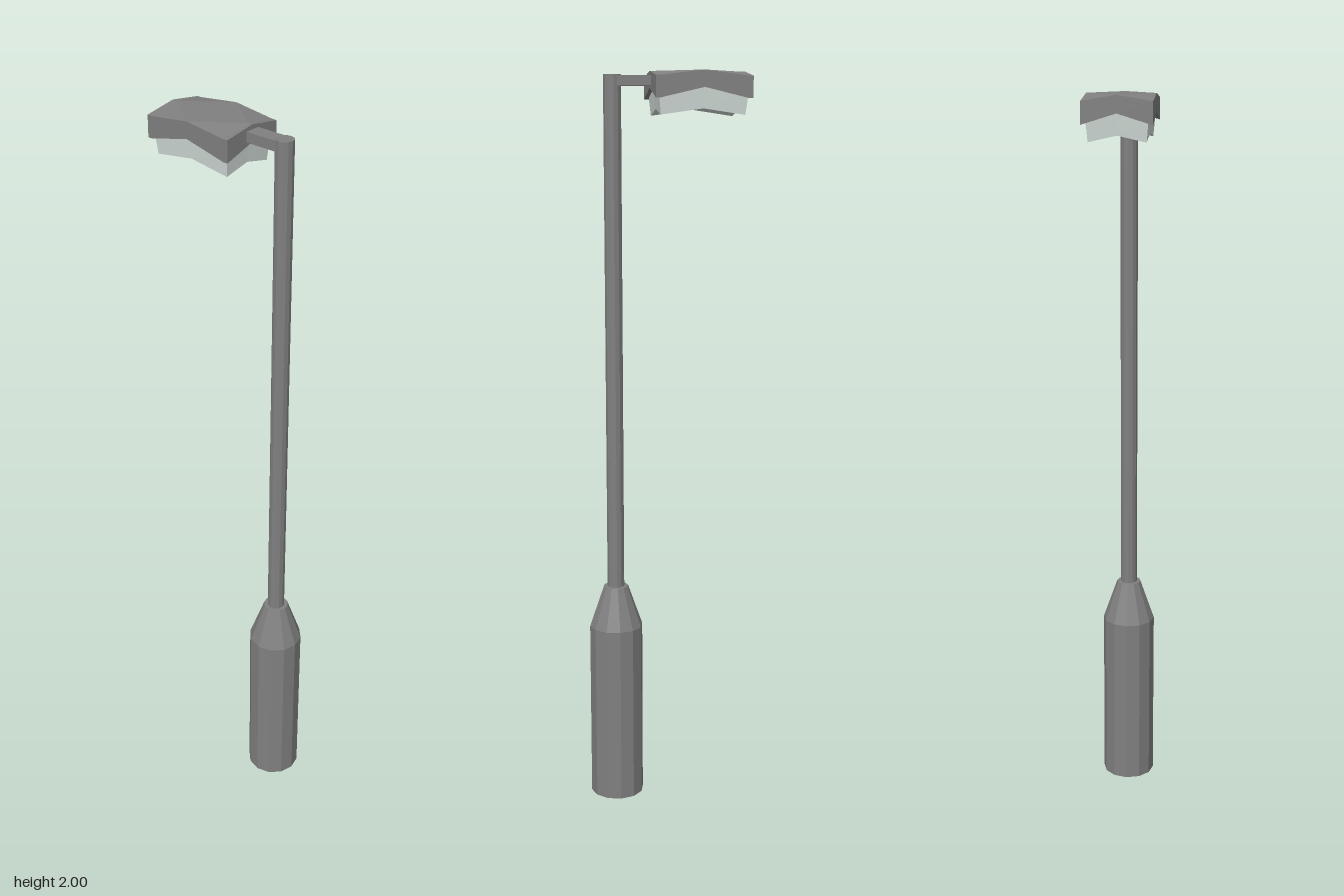
import * as THREE from 'three';

const grey = new THREE.MeshStandardMaterial({ color: 0x808080, flatShading: true });
const pale = new THREE.MeshStandardMaterial({ color: 0xd2dcd8, flatShading: true });

const POLE_Z = 0.14;

function add(group, name, geometry, material, x = 0, y = 0, z = 0) {
  const mesh = new THREE.Mesh(geometry, material);
  mesh.name = name;
  mesh.position.set(x, y, z);
  group.add(mesh);
}

// Slab with a faceted top and bottom: a flat diamond whose four corners drop.
// Each level is { w: half width, z: row positions, y: height, drop: corner drop }.
function facetedSlab(top, bottom) {
  const rows = top.z.length;
  const mid = (rows - 1) / 2;
  const pos = [];
  const point = (s, i, j) => {
    const corner = i !== 1 && j !== mid;
    return [(i - 1) * s.w, s.y - (corner ? s.drop : 0), s.z[j]];
  };
  const tri = (a, b, c) => pos.push(...a, ...b, ...c);

  // Top and bottom faces, split along the diamond
  for (const s of [top, bottom]) {
    const face = (a, b, c) => (s === top ? tri(a, b, c) : tri(a, c, b));
    for (let j = 0; j < rows - 1; j++) {
      for (let i = 0; i < 2; i++) {
        const a = point(s, i, j), b = point(s, i + 1, j);
        const c = point(s, i + 1, j + 1), d = point(s, i, j + 1);
        if ((i === 0) === (j < mid)) {
          face(a, d, b);
          face(b, d, c);
        } else {
          face(a, d, c);
          face(a, c, b);
        }
      }
    }
  }

  // Side walls
  const wall = (i0, j0, i1, j1) => {
    const a = point(bottom, i0, j0), b = point(bottom, i1, j1);
    const c = point(top, i1, j1), d = point(top, i0, j0);
    tri(a, b, c);
    tri(a, c, d);
  };
  const last = rows - 1;
  for (let i = 0; i < 2; i++) {
    wall(i, last, i + 1, last);
    wall(i + 1, 0, i, 0);
  }
  for (let j = 0; j < last; j++) {
    wall(2, j + 1, 2, j);
    wall(0, j, 0, j + 1);
  }

  const geometry = new THREE.BufferGeometry();
  geometry.setAttribute('position', new THREE.Float32BufferAttribute(pos, 3));
  geometry.computeVertexNormals();
  return geometry;
}

export function createModel() {
  const lamp = new THREE.Group();
  lamp.name = 'streetLamp';

  // Twelve-sided base with a tapered shoulder
  const profile = [[0, 0], [0.074, 0], [0.074, 0.495], [0.034, 0.61], [0, 0.61]];
  const base = new THREE.LatheGeometry(profile.map(([r, y]) => new THREE.Vector2(r, y)), 12);
  add(lamp, 'base', base, grey, 0, 0, POLE_Z);

  // Pole
  add(lamp, 'pole', new THREE.CylinderGeometry(0.0235, 0.0235, 1.385, 12), grey, 0, 1.2975, POLE_Z);

  // Arm from the pole into the lamp head
  add(lamp, 'arm', new THREE.BoxGeometry(0.042, 0.026, 0.12), grey, 0, 1.975, 0.08);

  // Lamp head housing
  const head = new THREE.Group();
  head.name = 'lampHead';
  lamp.add(head);
  const housingRows = [-0.215, -0.203, -0.087, 0.029, 0.041];
  add(head, 'housing', facetedSlab(
    { w: 0.088, z: housingRows, y: 2, drop: 0.014 },
    { w: 0.088, z: housingRows, y: 1.957, drop: 0.027 },
  ), grey);

  // Pale light cover below the housing
  add(head, 'lightCover', facetedSlab(
    { w: 0.077, z: [-0.205, -0.087, 0.031], y: 1.965, drop: 0.02 },
    { w: 0.072, z: [-0.198, -0.087, 0.025], y: 1.904, drop: 0.016 },
  ), pale);

  return lamp;
}
